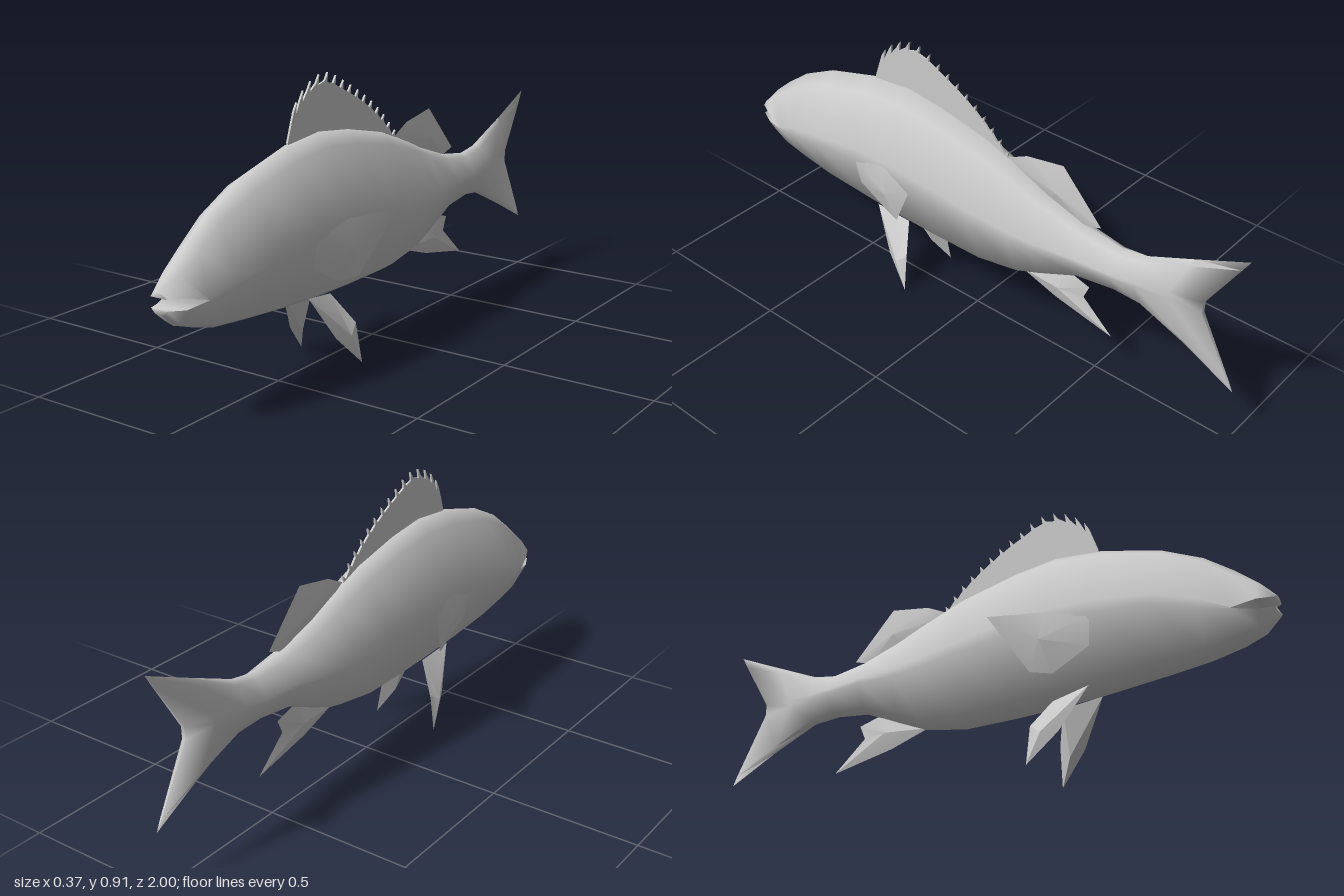
import * as THREE from 'three';
import { toCreasedNormals } from 'three/addons/utils/BufferGeometryUtils.js';

const skin = new THREE.MeshStandardMaterial({ color: 0xcccccc, side: THREE.DoubleSide });
skin.name = 'fish grey';

// Builds a mesh from points and triangles, smoothing edges below the crease angle
function surface(name, points, tris, crease) {
  const geo = new THREE.BufferGeometry();
  geo.setAttribute('position', new THREE.Float32BufferAttribute(points.flat(), 3));
  geo.setIndex(tris.flat());
  const mesh = new THREE.Mesh(toCreasedNormals(geo, crease), skin);
  mesh.name = name;
  return mesh;
}

// Head stations with an open mouth: z, bottom, lower lip, upper lip, top, half width
const MOUTH = [
  [1.0, 0.352, 0.368, 0.4, 0.415, 0.03],
  [0.95, 0.308, 0.362, 0.395, 0.47, 0.053],
  [0.88, 0.283, 0.374, 0.376, 0.53, 0.073],
];
// Body stations: z at the edges, bottom, top, half width, height of the widest line, z at mid height
const BODY = [
  [0.785, 0.255, 0.6, 0.092, 0.44],
  [0.65, 0.24, 0.665, 0.115, 0.48],
  [0.45, 0.222, 0.72, 0.117],
  [0.29, 0.213, 0.737, 0.118],
  [0.14, 0.21, 0.72, 0.116],
  [-0.045, 0.211, 0.68, 0.109],
  [-0.2, 0.24, 0.622, 0.096],
  [-0.285, 0.276, 0.585, 0.087],
  [-0.43, 0.343, 0.535, 0.069],
  [-0.565, 0.36, 0.515, 0.053],
  [-0.66, 0.35, 0.532, 0.04, 0.5, -0.645],
  [-0.82, 0.277, 0.602, 0.02, 0.52, -0.75],
  [-0.995, 0.19, 0.68, 0.006, 0.53, -0.855],
];

function body() {
  const points = [], tris = [];
  const addRing = (half, zAt) => {
    const left = half.slice(1, -1).reverse().map(([x, y]) => [-x, y]);
    for (const [x, y] of [...half, ...left]) points.push([x, y, zAt(y)]);
  };
  for (const [z, b, lo, up, t, w] of MOUTH) {
    addRing([[0, t], [w * 0.55, t - (t - up) * 0.2], [w, up], [w, lo],
      [w * 0.55, b + (lo - b) * 0.15], [0, b]], () => z);
  }
  for (const [z, b, t, w, m = 0.5, zMid = z] of BODY) {
    const at = (f) => b + (t - b) * f;
    addRing([[0, t], [w * 0.45, at(0.92)], [w, at(m + 0.04)], [w, at(m - 0.04)],
      [w * 0.45, at(0.065)], [0, b]],
    (y) => zMid + (z - zMid) * Math.min(1, Math.abs((y - at(m)) / ((y > at(m) ? t : b) - at(m)))));
  }
  // Skin between rings; the two jaws are separate loops in front of the mouth corner
  const jaws = [[0, 1, 2, 8, 9], [3, 4, 5, 6, 7]];
  const whole = [[0, 1, 2, 3, 4, 5, 6, 7, 8, 9]];
  const rings = MOUTH.length + BODY.length;
  for (let i = 0; i < rings - 1; i++) {
    for (const loop of i < MOUTH.length - 1 ? jaws : whole) {
      loop.forEach((j, k) => {
        const n = loop[(k + 1) % loop.length], p = i * 10, q = p + 10;
        tris.push([p + j, p + n, q + n], [p + j, q + n, q + j]);
      });
    }
  }
  // Lip ends and the forked tail edge
  for (const loop of jaws) {
    for (let k = 1; k < 4; k++) tris.push([loop[0], loop[k + 1], loop[k]]);
  }
  const e = (rings - 1) * 10;
  tris.push([e, e + 1, e + 9], [e + 4, e + 5, e + 6]);
  for (let k = 1; k < 4; k++) {
    tris.push([e + k, e + k + 1, e + 9 - k], [e + k, e + 9 - k, e + 10 - k]);
  }
  return surface('body', points, tris, 1.75);
}

// Fin: an outline raised to a ridge point on each face; side = -1 mirrors it
function fin(name, outline, ridgeA, ridgeB, side = 1) {
  const n = outline.length, tris = [];
  const points = [...outline, ridgeA, ridgeB].map(([x, y, z]) => [x * side, y, z]);
  for (let i = 0; i < n; i++) {
    const j = (i + 1) % n;
    tris.push(side > 0 ? [i, j, n] : [j, i, n], side > 0 ? [j, i, n + 1] : [i, j, n + 1]);
  }
  return surface(name, points, tris, 0.4);
}

// Thin front dorsal fin with a row of backward-leaning spines
function spinyFin() {
  const crest = new THREE.CatmullRomCurve3([
    [0.44, 0.73], [0.415, 0.81], [0.34, 0.885], [0.25, 0.91], [0.14, 0.865],
    [0.04, 0.81], [-0.05, 0.745], [-0.14, 0.66],
  ].map(([z, y]) => new THREE.Vector3(z, y, 0)));
  const shape = new THREE.Shape();
  shape.moveTo(0.43, 0.68);
  shape.lineTo(0.44, 0.725);
  const spines = 15;
  for (let i = 1; i <= spines; i++) {
    const tip = crest.getPointAt(0.1 + 0.88 * (i / spines));
    const depth = 0.036 - 0.018 * (i / spines);
    shape.lineTo(tip.x + 0.016, tip.y - depth * 0.8);
    shape.lineTo(tip.x, tip.y);
    shape.lineTo(tip.x + 0.004, tip.y - depth);
  }
  shape.lineTo(-0.14, 0.63);
  shape.lineTo(0.1, 0.66);
  const geo = new THREE.ExtrudeGeometry(shape, { depth: 0.007, bevelEnabled: false });
  geo.rotateY(-Math.PI / 2).translate(0.0035, 0, 0);
  const mesh = new THREE.Mesh(geo, skin);
  mesh.name = 'spinyDorsalFin';
  return mesh;
}

export function createModel() {
  const fish = new THREE.Group();
  fish.name = 'fish';
  fish.add(body(), spinyFin());

  // Fins on the centre line
  const flat = (pts) => pts.map(([z, y]) => [0, y, z]);
  fish.add(fin('rearDorsalFin',
    flat([[-0.11, 0.64], [-0.2, 0.685], [-0.34, 0.71], [-0.49, 0.55], [-0.43, 0.53], [-0.28, 0.57]]),
    [0.016, 0.61, -0.33], [-0.016, 0.61, -0.33]));
  fish.add(fin('analFin',
    flat([[-0.19, 0.245], [-0.33, 0.2], [-0.555, 0.155], [-0.44, 0.257], [-0.46, 0.305], [-0.37, 0.33]]),
    [0.018, 0.255, -0.35], [-0.018, 0.255, -0.35]));

  // Paired fins
  for (const side of [1, -1]) {
    const label = side > 0 ? 'left' : 'right';
    fish.add(fin(label + 'PectoralFin', [
      [0.112, 0.445, 0.45], [0.125, 0.485, 0.3], [0.185, 0.485, 0.135],
      [0.125, 0.295, 0.25], [0.1, 0.285, 0.315], [0.098, 0.35, 0.44],
    ], [0.14, 0.39, 0.29], [0.115, 0.42, 0.25], side));
    fish.add(fin(label + 'PelvicFin', [
      [0.05, 0.245, 0.41], [0.09, 0.1, 0.325], [0.12, 0, 0.23],
      [0.1, 0.13, 0.235], [0.035, 0.225, 0.28],
    ], [0.113, 0.1, 0.275], [0.075, 0.08, 0.28], side));
  }
  return fish;
}
